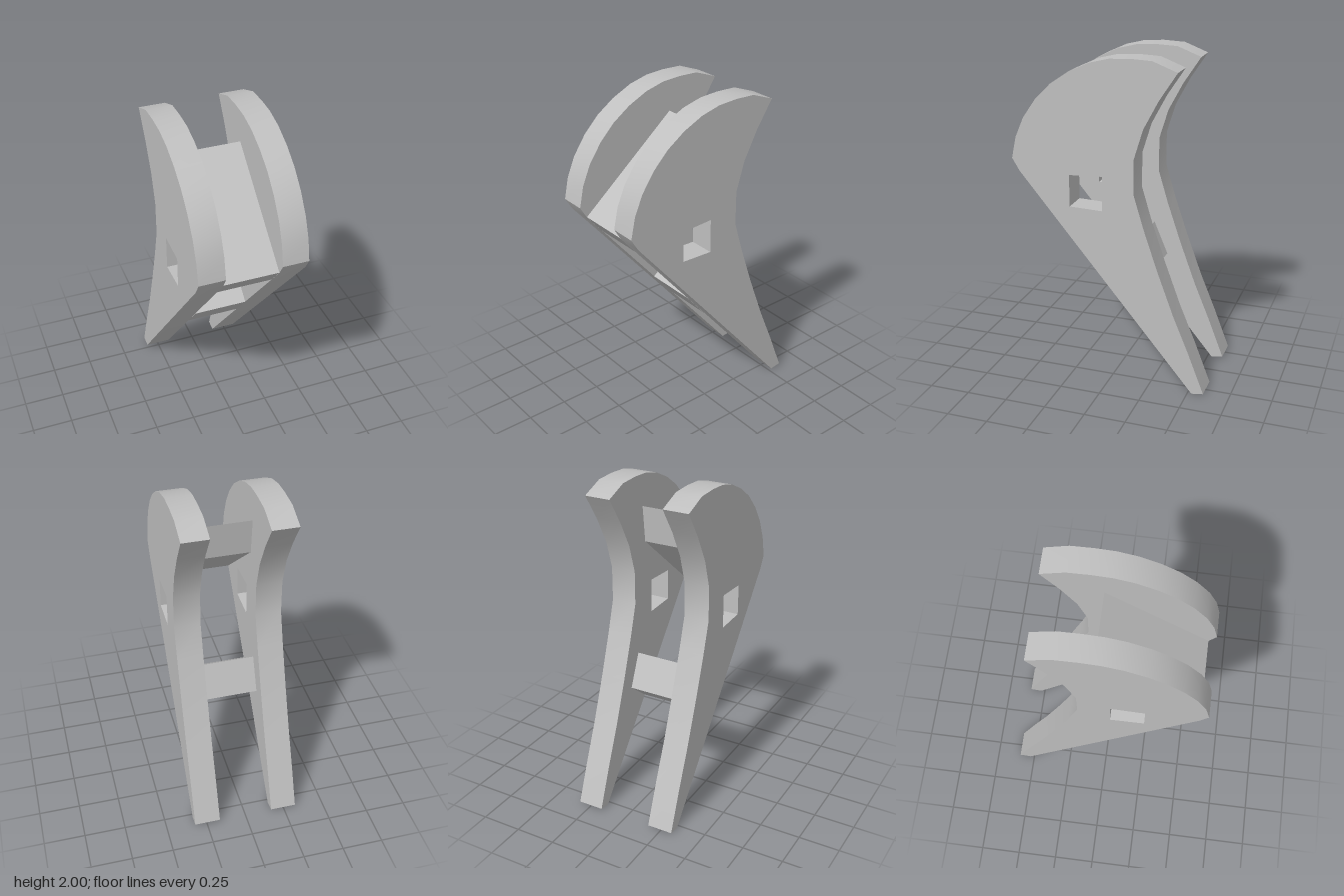
import * as THREE from 'three';
import { toCreasedNormals } from 'three/addons/utils/BufferGeometryUtils.js';

const HALF_WIDTH = 0.325;
const HALF_GAP = 0.167;

// Points are [z, y] pairs, as seen from the side.
const sidePlateOutline = [
  [-0.405, 1.94], [-0.3, 1.78], [-0.21, 1.61], [-0.155, 1.43], [-0.155, 1.22],
  [-0.215, 1.02], [-0.3, 0.77], [-0.4, 0.5], [-0.5, 0.26], [-0.597, 0.01],
  [-0.525, 0], [0.555, 1.295], [0.6, 1.37], [0.572, 1.5], [0.52, 1.62],
  [0.44, 1.735], [0.345, 1.83], [0.235, 1.905], [0.11, 1.963], [-0.01, 1.993],
  [-0.13, 2], [-0.26, 1.995],
];
const pivotHole = [[0.24, 1.3], [0.037, 1.31], [0.037, 1.1], [0.24, 1.107]];
const upperBarOutline = [[-0.055, 1.805], [-0.03, 1.58], [0.459, 1.18], [0.557, 1.3]];
const lowerBarOutline = [[-0.13, 0.885], [-0.217, 0.68], [-0.06, 0.555], [0.077, 0.72]];

const toVectors = (points) => points.map(([z, y]) => new THREE.Vector2(z, y));

// Extrudes a side profile across x, from x0 to x1.
function extrudeAcross(outline, x0, x1, hole) {
  const shape = new THREE.Shape(toVectors(outline));
  if (hole) shape.holes.push(new THREE.Path(toVectors(hole)));
  const geometry = new THREE.ExtrudeGeometry(shape, { depth: x1 - x0, bevelEnabled: false });
  geometry.rotateY(-Math.PI / 2).translate(x1, 0, 0);
  return toCreasedNormals(geometry, 0.5);
}

export function createModel() {
  const group = new THREE.Group();
  group.name = 'twinPlateLever';

  const grey = new THREE.MeshStandardMaterial({ color: 0xbfbfbf });
  grey.name = 'plainGrey';

  const add = (name, geometry) => {
    const mesh = new THREE.Mesh(geometry, grey);
    mesh.name = name;
    group.add(mesh);
  };

  // Two curved side plates, each with a square pivot hole
  add('leftSidePlate', extrudeAcross(sidePlateOutline, HALF_GAP, HALF_WIDTH, pivotHole));
  add('rightSidePlate', extrudeAcross(sidePlateOutline, -HALF_WIDTH, -HALF_GAP, pivotHole));

  // Sloping bars that join the plates
  add('upperCrossbar', extrudeAcross(upperBarOutline, -HALF_GAP, HALF_GAP));
  add('lowerCrossbar', extrudeAcross(lowerBarOutline, -HALF_GAP, HALF_GAP));

  return group;
}
